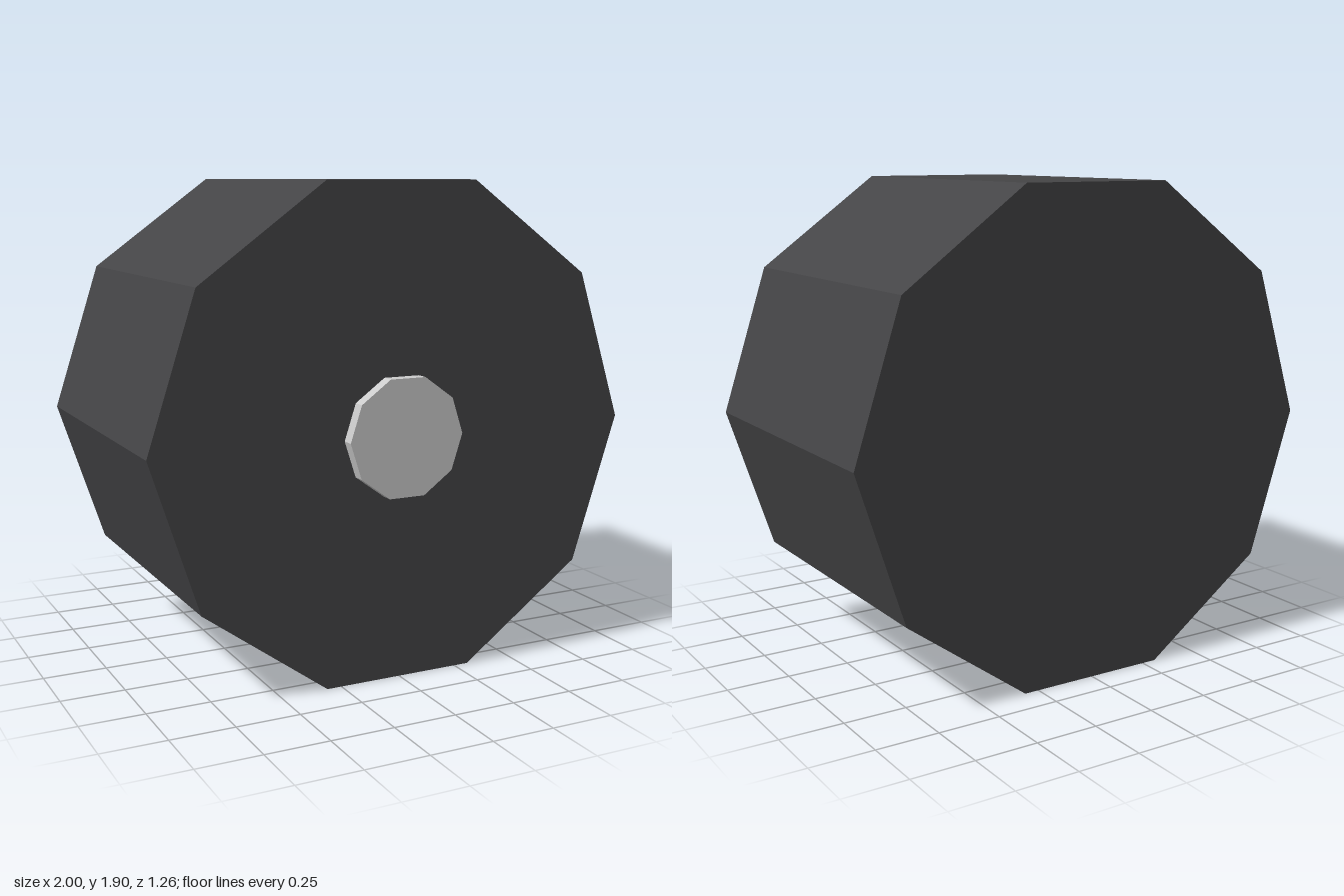
import * as THREE from 'three';

const SIDES = 10;
const CENTER_Y = Math.sin((2 * Math.PI) / 5); // ten-sided wheel resting on a flat side

// Solid ten-sided disc along z, with corners pointing to +x and -x
function disc(name, radius, zBack, zFront, color) {
  const geometry = new THREE.CylinderGeometry(
    radius, radius, zFront - zBack, SIDES, 1, false, Math.PI / 2);
  geometry.rotateX(Math.PI / 2);
  const mesh = new THREE.Mesh(
    geometry, new THREE.MeshStandardMaterial({ color, flatShading: true }));
  mesh.name = name;
  mesh.position.set(0, CENTER_Y, (zBack + zFront) / 2);
  return mesh;
}

export function createModel() {
  const wheel = new THREE.Group();
  wheel.name = 'wheel';
  wheel.add(disc('tire', 1, -0.63, 0.58, 0x444446));
  // Hub cap, slightly sunk into the outer face
  wheel.add(disc('hubCap', 0.238, 0.56, 0.63, 0xcccccc));
  return wheel;
}
